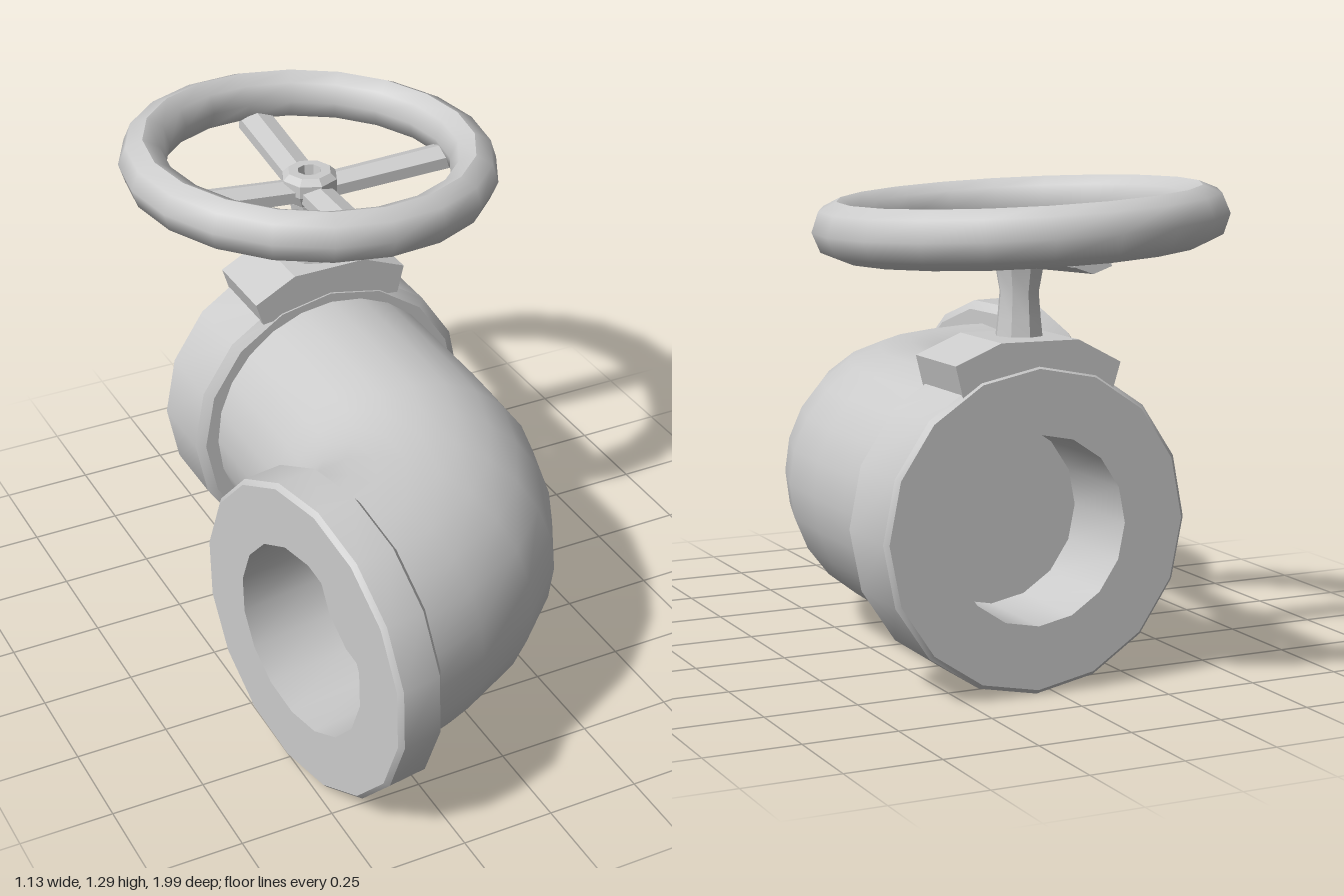
import * as THREE from 'three';
import { toCreasedNormals } from 'three/addons/utils/BufferGeometryUtils.js';

const V = (x, y, z) => new THREE.Vector3(x, y, z);
const material = new THREE.MeshStandardMaterial({ color: 0xcccccc });

function part(name, geometry, crease = 0.55) {
  const mesh = new THREE.Mesh(toCreasedNormals(geometry, crease), material);
  mesh.name = name;
  return mesh;
}

function lathe(points, sides) {
  return new THREE.LatheGeometry(points.map(([r, y]) => new THREE.Vector2(r, y)), sides);
}

// Elbow pipe: each section spans an inner and an outer point of the bend in plan
function elbowGeometry() {
  const sections = [
    // inner x, inner z, outer x, outer z
    [-0.31, -0.42, 0.41, -0.42], [-0.31, -0.2, 0.41, -0.2], [-0.31, 0, 0.41, 0],
    [-0.312, 0.06, 0.40, 0.2], [-0.318, 0.1, 0.335, 0.4], [-0.33, 0.135, 0.23, 0.59],
    [-0.35, 0.165, 0.08, 0.735], [-0.385, 0.188, -0.12, 0.845], [-0.42, 0.2, -0.33, 0.92],
  ];
  const sides = 24, pos = [], index = [];
  sections.forEach(([ix, iz, ox, oz], i) => {
    for (let j = 0; j < sides; j++) {
      const a = (j / sides) * Math.PI * 2, t = (1 + Math.cos(a)) / 2;
      pos.push(ix + (ox - ix) * t, 0.437 + 0.364 * Math.sin(a), iz + (oz - iz) * t);
      if (i === 0) continue;
      const k = (j + 1) % sides, p = (i - 1) * sides, q = i * sides;
      index.push(p + j, p + k, q + j, p + k, q + k, q + j);
    }
  });
  const g = new THREE.BufferGeometry();
  g.setAttribute('position', new THREE.Float32BufferAttribute(pos, 3));
  g.setIndex(index);
  g.computeVertexNormals();
  return g;
}

// Bored flange, running from its base outward along a direction
function flange(name, base, direction, length, radius, bore, depth) {
  const mesh = part(name, lathe([
    [0.3, 0], [radius - 0.025, 0], [radius, 0.02], [radius, length - 0.012],
    [radius - 0.012, length], [bore, length], [bore, length - depth], [0, length - depth],
  ], 16));
  mesh.quaternion.setFromUnitVectors(V(0, 1, 0), direction.normalize());
  mesh.position.copy(base);
  return mesh;
}

// Curved saddle clamped over the back flange
function saddle() {
  const s = new THREE.Shape();
  [[-0.16, 0.78], [-0.18, 0.845], [-0.06, 0.908], [0.155, 0.91], [0.28, 0.86], [0.26, 0.78], [0.05, 0.8]]
    .reverse().forEach(([x, y], i) => (i ? s.lineTo(x, y) : s.moveTo(x, y)));
  const g = new THREE.ExtrudeGeometry(s, { depth: 0.235, bevelEnabled: false });
  g.translate(0, 0, -0.607);
  return part('saddle', g, 0.3);
}

// Rim, four spokes and a hollow hub nut, leaning slightly to one side
function handWheel() {
  const wheel = new THREE.Group();
  wheel.name = 'handWheel';
  const rimShape = new THREE.TorusGeometry(0.46, 0.066, 8, 20);
  rimShape.rotateX(Math.PI / 2);
  rimShape.scale(1, 1.1, 1);
  const rim = part('rim', rimShape, 0.85);
  rim.position.y = 1.2;
  rim.rotation.set(0.01, 0, -0.05);
  wheel.add(rim);

  for (let i = 0; i < 4; i++) {
    const spokeShape = new THREE.CylinderGeometry(0.055, 0.052, 0.39, 6);
    spokeShape.rotateY(Math.PI / 2);
    spokeShape.scale(0.62, 1, 1);
    spokeShape.rotateZ(-Math.PI / 2 + 0.06);
    spokeShape.translate(0.235, 1.127, 0);
    const spoke = part('spoke', spokeShape, 0.4);
    spoke.rotation.y = i * Math.PI / 2 - 0.06;
    wheel.add(spoke);
  }

  wheel.add(part('hub', lathe([
    [0, 1.07], [0.055, 1.07], [0.08, 1.12], [0.08, 1.155], [0.062, 1.172],
    [0.034, 1.172], [0.03, 1.14], [0, 1.14],
  ], 8), 0.4));
  wheel.position.set(0.036, 0, -0.472);
  return wheel;
}

export function createModel() {
  const model = new THREE.Group();
  model.name = 'elbowValve';
  model.add(part('elbowPipe', elbowGeometry(), 0.9));
  model.add(flange('backFlange', V(0.05, 0.43, -0.37), V(0, 0, -1), 0.242, 0.423, 0.245, 0.27));
  model.add(flange('sideFlange', V(-0.362, 0.44, 0.552), V(-0.986, 0, 0.166), 0.14, 0.43, 0.26, 0.24));
  model.add(saddle());

  // Stem flaring at both ends
  const stem = part('stem', lathe([[0.066, 0.88], [0.058, 0.95], [0.052, 1.02], [0.064, 1.085], [0, 1.085]], 8), 0.4);
  stem.position.set(0.038, 0, -0.47);
  model.add(stem, handWheel());
  return model;
}
